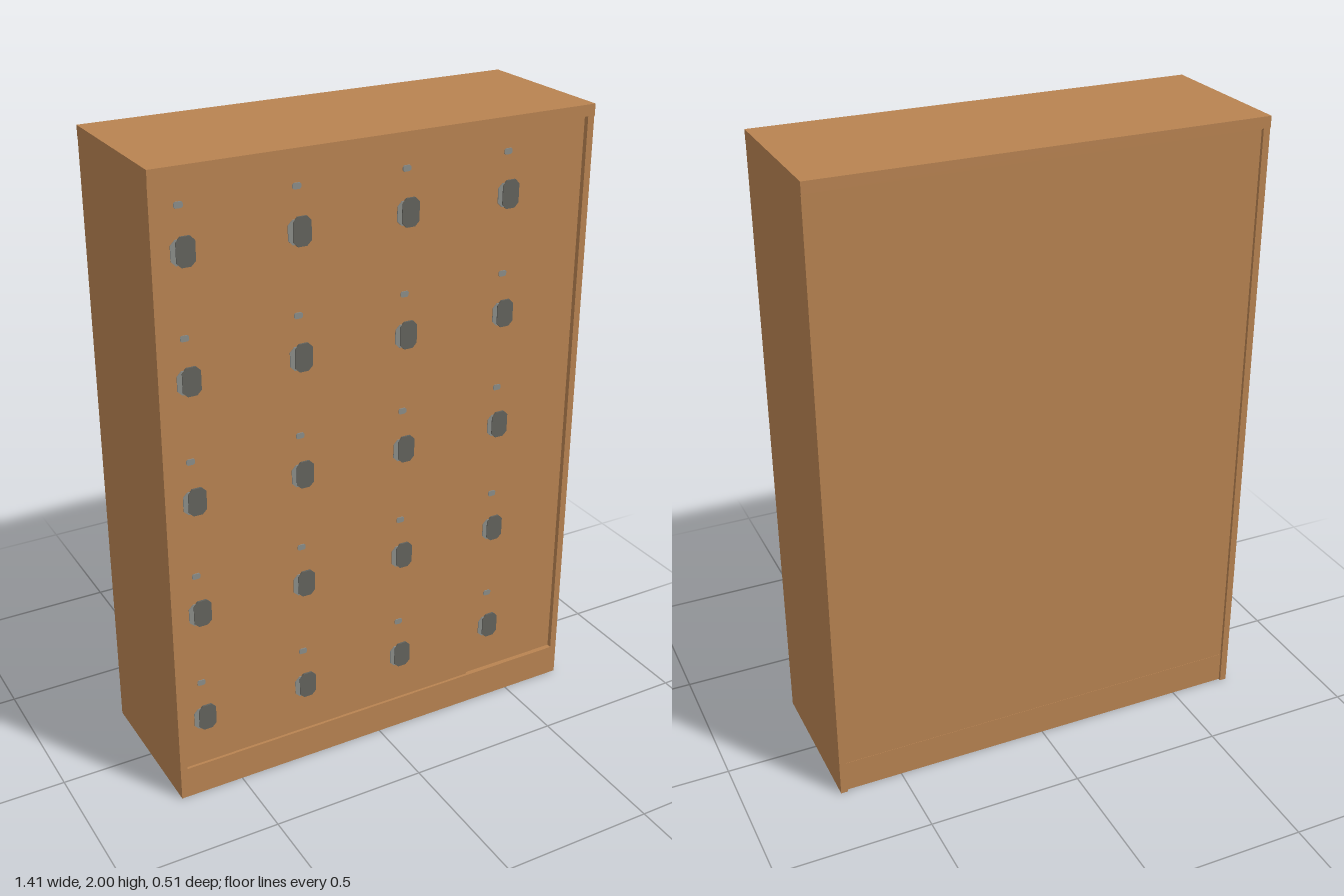
import * as THREE from 'three';

const wood = new THREE.MeshStandardMaterial({ color: 0xb88351 });
wood.name = 'wood';
const steel = new THREE.MeshStandardMaterial({ color: 0x8a8c88 });
steel.name = 'steel';
const darkSteel = new THREE.MeshStandardMaterial({ color: 0x62625c });
darkSteel.name = 'darkSteel';

// Box given by its minimum and maximum corners
function box(name, material, x0, x1, y0, y1, z0, z1) {
  const mesh = new THREE.Mesh(new THREE.BoxGeometry(x1 - x0, y1 - y0, z1 - z0), material);
  mesh.position.set((x0 + x1) / 2, (y0 + y1) / 2, (z0 + z1) / 2);
  mesh.name = name;
  return mesh;
}

// Thin upright plate with cut corners, facing +z
function plate(name, material, w, h, cut, depth) {
  const x = w / 2, y = h / 2;
  const shape = new THREE.Shape([
    [-x + cut, -y], [x - cut, -y], [x, -y + cut], [x, y - cut],
    [x - cut, y], [-x + cut, y], [-x, y - cut], [-x, -y + cut],
  ].map(([a, b]) => new THREE.Vector2(a, b)));
  const mesh = new THREE.Mesh(
    new THREE.ExtrudeGeometry(shape, { depth, bevelEnabled: false }), material);
  mesh.name = name;
  return mesh;
}

export function createModel() {
  const model = new THREE.Group();
  model.name = 'lockerCabinet';

  const W = 0.706, D = 0.253, T = 0.022, TOP = 1.965, BASE = 0.105;
  const inner = W - T;

  // Carcass: top, two sides, plinth, floor and recessed back
  model.add(box('topPanel', wood, -W, W, TOP, 2, -D, D));
  for (const s of [-1, 1]) {
    const a = s * W, b = s * inner;
    model.add(box(s > 0 ? 'leftSide' : 'rightSide', wood,
      Math.min(a, b), Math.max(a, b), 0, TOP, -D + 0.002, D - 0.002));
  }
  model.add(box('plinth', wood, -inner, inner, 0, BASE, -D + 0.011, D - 0.002));
  model.add(box('backPanel', wood, -inner, inner, BASE, TOP, -D + 0.012, -D + 0.03));

  // Doors: four columns of five, the last column set a little deeper
  const columns = 4, rows = 5;
  const dw = (2 * inner) / columns, dh = (TOP - BASE) / rows;
  for (let c = 0; c < columns; c++) {
    const front = c === columns - 1 ? D - 0.018 : D - 0.011;
    for (let r = 0; r < rows; r++) {
      const x0 = -inner + c * dw, y0 = BASE + r * dh;
      const door = new THREE.Group();
      door.name = 'door';
      door.add(box('doorPanel', wood, x0, x0 + dw, y0, y0 + dh, front - 0.02, front));

      // Lock: pale backing plate with a dark grip over it
      const hx = -0.61 + c * 0.345, hy = 0.272 + r * 0.373;
      const backing = plate('lockPlate', steel, 0.055, 0.072, 0.014, 0.003);
      backing.position.set(hx - 0.011, hy, front);
      const grip = plate('lockGrip', darkSteel, 0.056, 0.086, 0.014, 0.006);
      grip.position.set(hx + 0.004, hy, front);

      // Small number tag above the lock
      const tag = plate('numberTag', steel, 0.026, 0.018, 0.004, 0.003);
      tag.position.set(hx - 0.01, hy + 0.129, front);
      door.add(backing, grip, tag);
      model.add(door);
    }
  }
  return model;
}
